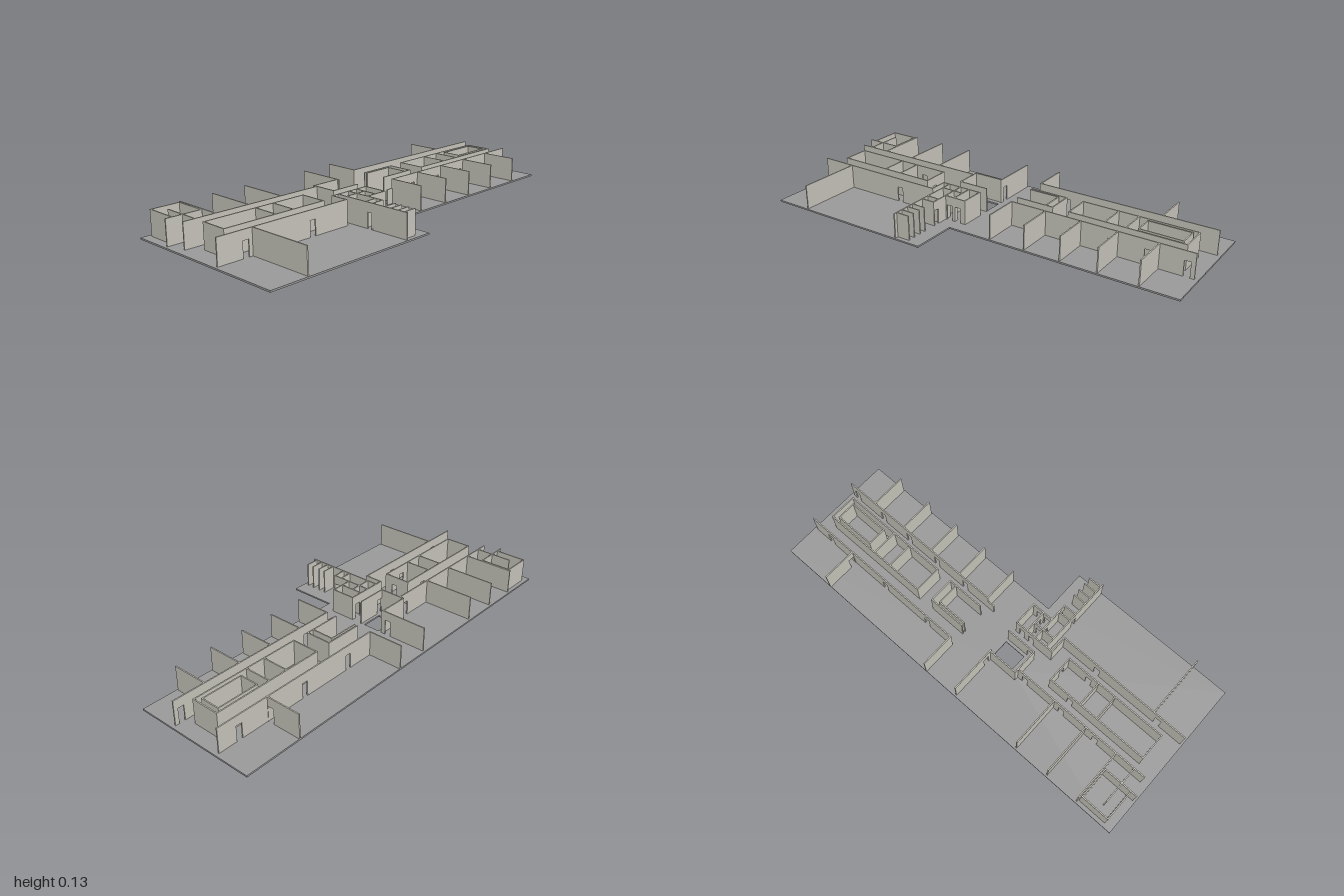
import * as THREE from 'three';

const FLOOR = 0.008, TOP = 0.127, THICK = 0.006, DOOR_W = 0.03, DOOR_TOP = 0.082;

export function createModel() {
  const model = new THREE.Group();
  model.name = 'floorPlan';
  const wallMat = new THREE.MeshStandardMaterial({ color: 0xc4c2b8 });
  wallMat.name = 'warmGreyWall';
  const floorMat = new THREE.MeshStandardMaterial({ color: 0x999999 });
  floorMat.name = 'greyFloor';

  // L-shaped floor slab with a shaft opening; shape y is -z
  const outline = (pts) => pts.map(([x, z]) => new THREE.Vector2(x, -z));
  const slab = new THREE.Shape(outline([[-1, 0.414], [-0.13, 0.414], [-0.13, 0.186], [1, 0.186], [1, -0.422], [-1, -0.422]]));
  slab.holes.push(new THREE.Path(outline([[-0.2, -0.155], [-0.2, -0.07], [-0.09, -0.07], [-0.09, -0.155]])));
  const floorGeo = new THREE.ExtrudeGeometry(slab, { depth: FLOOR, bevelEnabled: false });
  floorGeo.rotateX(-Math.PI / 2);
  const floor = new THREE.Mesh(floorGeo, floorMat);
  floor.name = 'floorSlab';
  model.add(floor);

  // Straight wall from one point to another; doors are centre distances given as x or z
  function wall(group, x1, z1, x2, z2, doors = [], top = TOP) {
    const alongX = z1 === z2;
    const a = alongX ? x1 : z1, b = alongX ? x2 : z2;
    const s = new THREE.Shape();
    s.moveTo(a - THICK / 2, FLOOR);
    for (const d of doors) {
      s.lineTo(d - DOOR_W / 2, FLOOR);
      s.lineTo(d - DOOR_W / 2, DOOR_TOP);
      s.lineTo(d + DOOR_W / 2, DOOR_TOP);
      s.lineTo(d + DOOR_W / 2, FLOOR);
    }
    s.lineTo(b + THICK / 2, FLOOR);
    s.lineTo(b + THICK / 2, top);
    s.lineTo(a - THICK / 2, top);
    const geo = new THREE.ExtrudeGeometry(s, { depth: THICK, bevelEnabled: false });
    geo.translate(0, 0, -THICK / 2);
    if (!alongX) geo.rotateY(-Math.PI / 2);
    const mesh = new THREE.Mesh(geo, wallMat);
    mesh.name = 'wall';
    if (alongX) mesh.position.z = z1; else mesh.position.x = x1;
    group.add(mesh);
  }

  // Rectangular room core
  function core(group, x1, z1, x2, z2, d = {}) {
    wall(group, x1, z1, x2, z1, d.back);
    wall(group, x1, z2, x2, z2, d.front);
    wall(group, x1, z1, x1, z2, d.right);
    wall(group, x2, z1, x2, z2, d.left);
  }

  function section(name) {
    const g = new THREE.Group();
    g.name = name;
    model.add(g);
    return g;
  }

  // Back rooms on the right wing
  const backRight = section('backRightRooms');
  wall(backRight, -0.96, -0.16, -0.24, -0.16, [-0.695, -0.5, -0.285]);
  for (const x of [-0.805, -0.635, -0.455]) wall(backRight, x, -0.41, x, -0.16);
  wall(backRight, -0.09, -0.41, -0.09, -0.175, [-0.21]);
  core(backRight, -0.955, -0.4, -0.815, -0.245);
  wall(backRight, -0.985, -0.245, -0.955, -0.245);
  wall(backRight, -0.905, -0.345, -0.905, -0.16);

  // Back rooms on the left wing
  const backLeft = section('backLeftRooms');
  wall(backLeft, 0.09, -0.25, 0.98, -0.25, [0.24, 0.51, 0.875]);
  wall(backLeft, 0.09, -0.42, 0.09, -0.25);
  wall(backLeft, 0.72, -0.42, 0.72, -0.25, [-0.27]);

  // Front rooms on the left wing
  const frontLeft = section('frontLeftRooms');
  wall(frontLeft, 0.09, 0.003, 0.98, 0.003, [0.232, 0.415, 0.598, 0.772, 0.948]);
  for (const x of [0.09, 0.27, 0.45, 0.63, 0.82]) wall(frontLeft, x, 0.003, x, 0.178);
  wall(frontLeft, 0.055, 0.003, 0.09, 0.003, [], DOOR_TOP);

  // Front hall on the right wing
  const frontRight = section('frontRightHall');
  wall(frontRight, -0.985, 0.09, -0.3, 0.09, [-0.85, -0.5]);
  wall(frontRight, -0.815, 0.09, -0.815, 0.405);

  // Service cores in the corridors
  const cores = section('serviceCores');
  core(cores, -0.905, -0.1, -0.38, 0.03, { back: [-0.5], front: [-0.5], left: [-0.022] });
  for (const x of [-0.645, -0.55]) wall(cores, x, -0.1, x, 0.03);
  core(cores, 0.36, -0.182, 0.92, -0.048);
  for (const x of [0.54, 0.64]) wall(cores, x, -0.182, x, -0.048);
  core(cores, 0.69, -0.163, 0.895, -0.07);
  wall(cores, 0.09, -0.175, 0.275, -0.175);
  wall(cores, 0.09, -0.05, 0.275, -0.05);
  wall(cores, 0.275, -0.175, 0.275, -0.05);
  wall(cores, 0.24, -0.16, 0.24, -0.05);
  wall(cores, 0.09, -0.16, 0.24, -0.16);

  // Walls around the shaft
  const shaft = section('shaftWalls');
  wall(shaft, -0.24, -0.18, -0.09, -0.18);
  wall(shaft, -0.24, -0.052, -0.09, -0.052, [-0.22]);
  wall(shaft, -0.24, -0.18, -0.24, -0.052);

  // Washroom block with a row of stalls
  const wash = section('washrooms');
  wall(wash, -0.3, 0.003, -0.09, 0.003, [-0.18, -0.125]);
  wall(wash, -0.3, 0.003, -0.3, 0.09);
  wall(wash, -0.265, 0.003, -0.265, 0.405, [0.2]);
  wall(wash, -0.2, 0.003, -0.2, 0.21, [0.075, 0.195]);
  wall(wash, -0.15, 0.003, -0.15, 0.12, [0.085]);
  wall(wash, -0.09, 0.003, -0.09, 0.12);
  wall(wash, -0.2, 0.12, -0.09, 0.12, [-0.175, -0.13]);
  wall(wash, -0.265, 0.055, -0.15, 0.055, [-0.18]);
  wall(wash, -0.265, 0.17, -0.2, 0.17);
  wall(wash, -0.265, 0.21, -0.2, 0.21);
  for (const z of [0.28, 0.315, 0.355, 0.39]) wall(wash, -0.265, z, -0.2, z);

  // The whole plan sits very slightly turned
  model.rotation.y = 0.006;
  return model;
}
